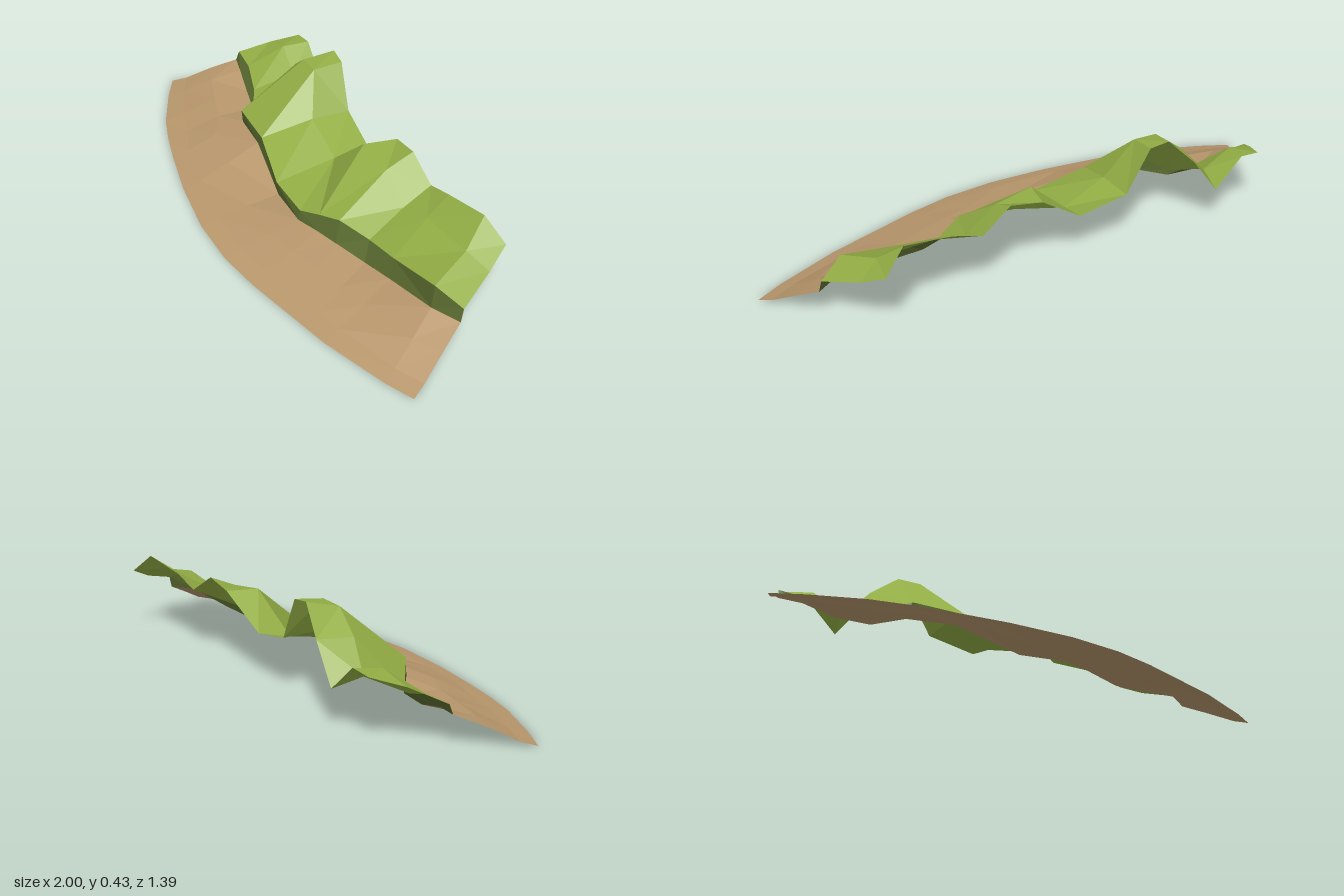
import * as THREE from 'three';

// Cross-section rails of the bank, each running from the right end to the left end
const outer = [[-1, 0, -.39], [-.93, 0, -.28], [-.8, 0, -.11], [-.7, 0, -.01], [-.58, 0, .095],
  [-.4, 0, .24], [-.18, 0, .39], [.02, 0, .49], [.2, 0, .55], [.4, 0, .60], [.5, 0, .625],
  [.6, 0, .65], [.88, 0, .69], [1, 0, .695]];
const foot = [[-.74, .13, -.55], [-.67, .125, -.49], [-.57, .09, -.41], [-.465, .085, -.32], [-.42, .10, -.19],
  [-.25, .12, -.075], [-.02, .05, .09], [.16, .07, .2], [.27, .08, .225], [.37, .08, .245], [.52, .08, .275],
  [.66, .10, .32], [.88, .135, .40], [1, .13, .40]];
const lip = [[-.73, .17, -.56], [-.62, .165, -.49], [-.52, .12, -.4], [-.47, .11, -.33], [-.41, .17, -.17],
  [-.21, .175, -.05], [-.02, .115, .1], [.16, .11, .19], [.26, .14, .2], [.36, .165, .21], [.5, .14, .215],
  [.65, .17, .285], [.88, .225, .385], [1, .18, .385]];
const shoulder = [[-.6, .235, -.63], [-.49, .27, -.58], [-.385, .2, -.51], [-.31, .315, -.43], [-.22, .40, -.36],
  [-.13, .405, -.31], [-.065, .24, -.21], [.11, .165, -.12], [.28, .33, -.07], [.43, .31, .0], [.55, .22, .06],
  [.68, .26, .11], [.9, .275, .21], [1, .23, .21]];
const ridge = [[-.49, .275, -.7], [-.41, .285, -.66], [-.3, .17, -.6], [-.21, .32, -.535], [-.13, .43, -.455],
  [-.06, .42, -.41], [.02, .24, -.35], [.19, .2, -.235], [.37, .335, -.17], [.485, .36, -.1], [.6, .28, -.05],
  [.71, .32, .01], [.9, .36, .09], [1, .28, .1]];

// Rail part-way between rim and foot of the slope, with its own heights
const slopeRail = (t, heights) => outer.map((p, i) => [
  p[0] + (foot[i][0] - p[0]) * t,
  heights[i],
  p[2] + (foot[i][2] - p[2]) * t,
]);
const rimRail = slopeRail(.22, outer.map(() => .02));
const shelfRail = slopeRail(.6, [.079, .079, .075, .072, .07, .066, .038, .048, .053, .054, .054, .06, .076, .075]);

// Faceted sheet stretched over successive rails, each cell split on its shorter diagonal
function sheet(name, rails, material) {
  const n = rails[0].length;
  const points = rails.flat().map((p) => new THREE.Vector3(...p));
  const index = [];
  for (let r = 0; r < rails.length - 1; r++) {
    for (let c = 0; c < n - 1; c++) {
      const a = r * n + c, b = a + 1, d = a + n, e = d + 1;
      if (points[a].distanceTo(points[e]) < points[b].distanceTo(points[d])) index.push(a, b, e, a, e, d);
      else index.push(a, b, d, b, e, d);
    }
  }
  const geometry = new THREE.BufferGeometry().setFromPoints(points);
  geometry.setIndex(index);
  const flat = geometry.toNonIndexed();
  flat.computeVertexNormals();
  const mesh = new THREE.Mesh(flat, material);
  mesh.name = name;
  return mesh;
}

// Flat-shaded material, visible from both sides of the thin sheet
function paint(name, color) {
  const material = new THREE.MeshStandardMaterial({ color, flatShading: true, side: THREE.DoubleSide });
  material.name = name;
  return material;
}

export function createModel() {
  const earth = paint('earth', 0xb8976c);
  const grass = paint('grass', 0x93ae45);
  const darkTurf = paint('darkTurf', 0x596a2f);

  const group = new THREE.Group();
  group.name = 'grassyBank';
  // Earth slope: shallow rim, then a shelf below the turf
  group.add(sheet('earthSlope', [outer, rimRail, shelfRail, foot], earth));
  // Steep dark turf edge, then the hills rising to the open back ridge
  group.add(sheet('turfEdge', [foot, lip], darkTurf));
  group.add(sheet('grassHills', [lip, shoulder, ridge], grass));
  return group;
}
